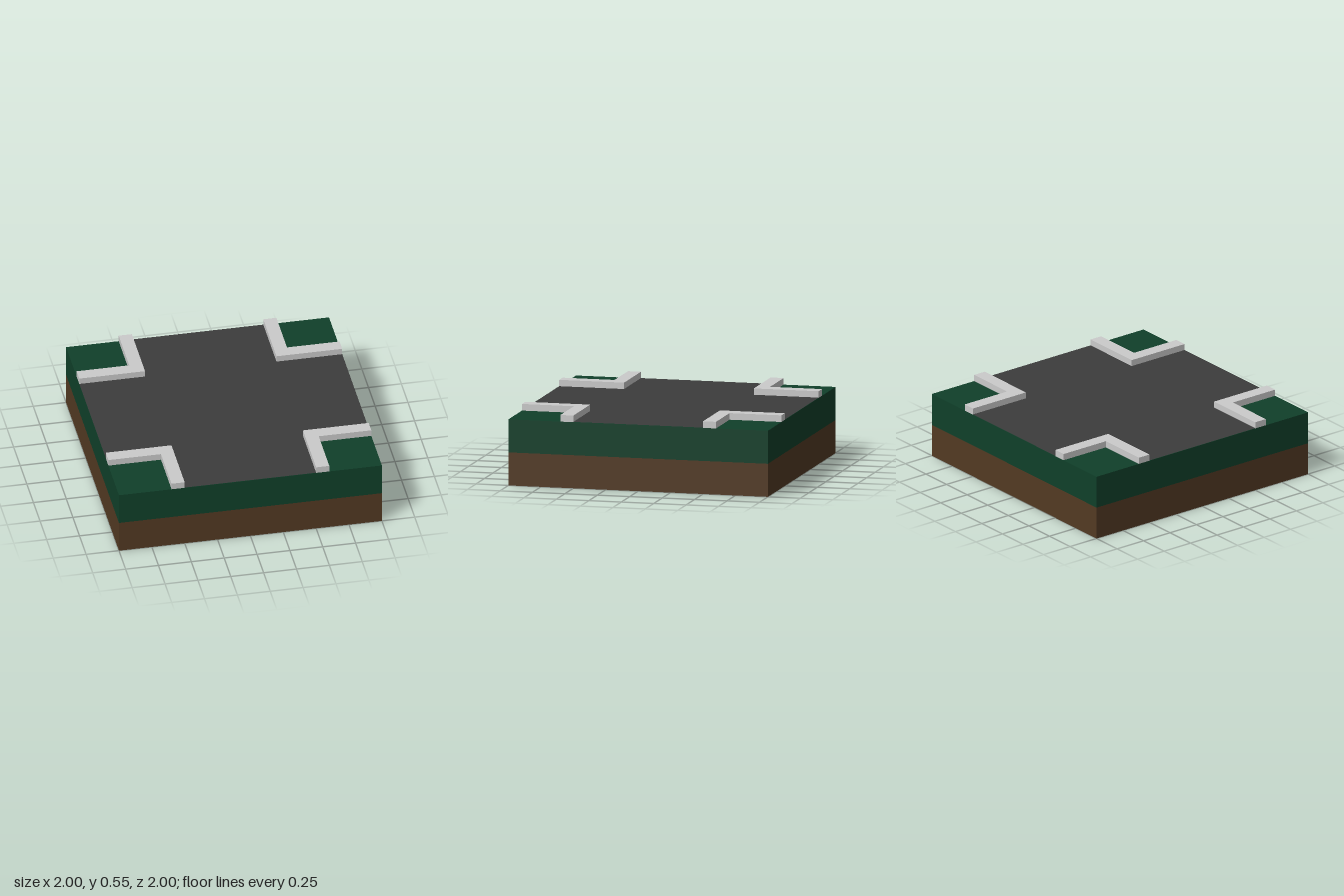
import * as THREE from 'three';

const material = (color) => new THREE.MeshStandardMaterial({ color, flatShading: true });

export function createModel() {
  const model = new THREE.Group();
  model.name = 'crossroadsTile';

  const add = (name, geometry, mat, y) => {
    const mesh = new THREE.Mesh(geometry, mat);
    mesh.name = name;
    mesh.position.y = y;
    model.add(mesh);
    return mesh;
  };

  // Ground layers: soil below, grass above
  add('soilLayer', new THREE.BoxGeometry(2, 0.25, 2), material(0x533a23), 0.125);
  add('grassLayer', new THREE.BoxGeometry(2, 0.25, 2), material(0x10402a), 0.375);

  // Cross-shaped road surface, a hair above the grass
  const a = 0.5;
  const cross = new THREE.Shape([
    [-a, -1], [a, -1], [a, -a], [1, -a], [1, a], [a, a],
    [a, 1], [-a, 1], [-a, a], [-1, a], [-1, -a], [-a, -a],
  ].map(([x, y]) => new THREE.Vector2(x, y)));
  const road = new THREE.ShapeGeometry(cross).rotateX(-Math.PI / 2);
  add('road', road, material(0x3c3c3c), 0.502);

  // L-shaped kerb around each grassy corner
  const b = 0.6;
  const corner = new THREE.Shape([
    [a, a], [1, a], [1, b], [b, b], [b, 1], [a, 1],
  ].map(([x, y]) => new THREE.Vector2(x, y)));
  const kerb = new THREE.ExtrudeGeometry(corner, { depth: 0.05, bevelEnabled: false })
    .rotateX(-Math.PI / 2);
  const kerbMaterial = material(0xcccccc);
  ['backLeftKerb', 'backRightKerb', 'frontRightKerb', 'frontLeftKerb'].forEach((name, i) => {
    add(name, kerb, kerbMaterial, 0.5).rotation.y = i * Math.PI / 2;
  });

  return model;
}
